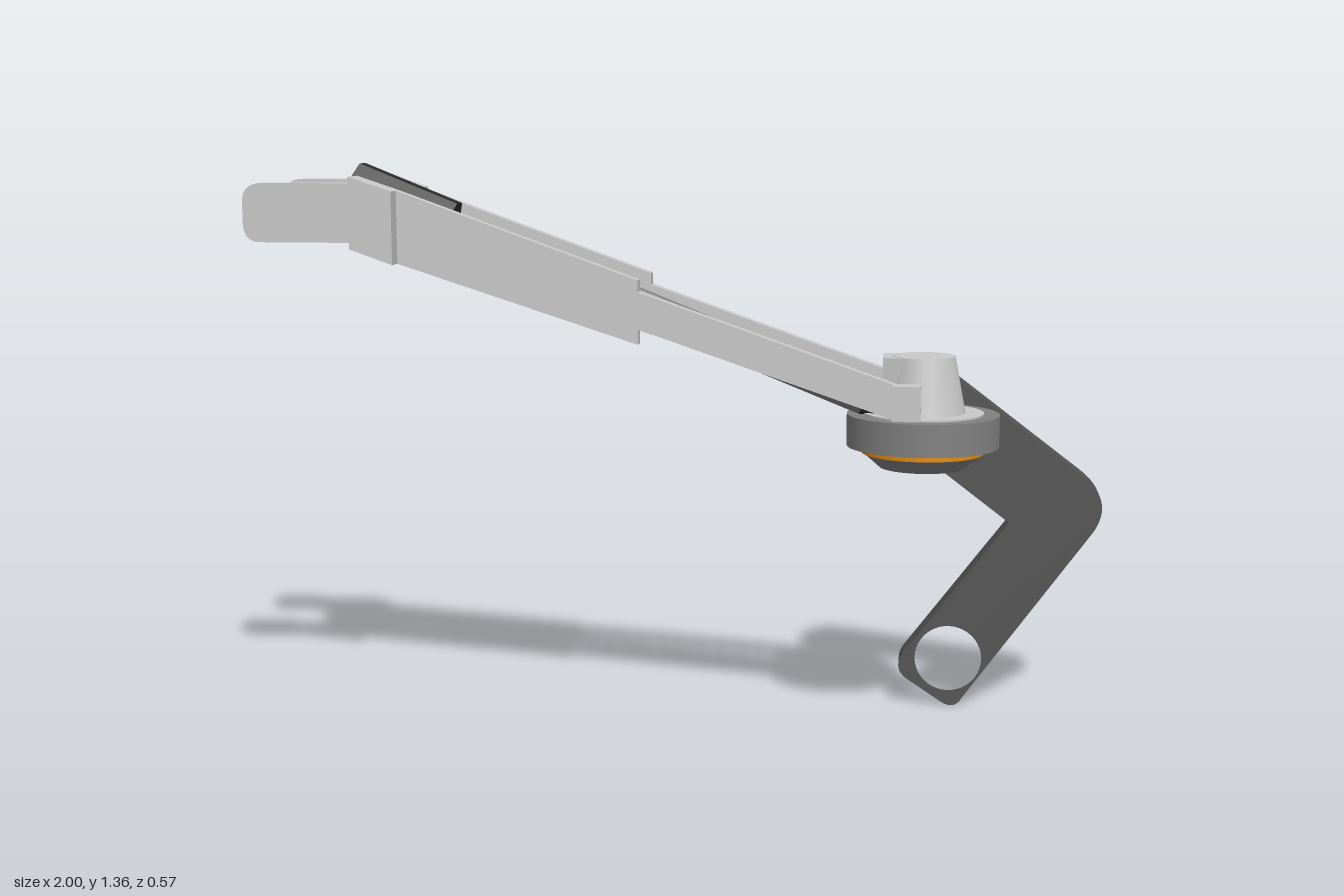
import * as THREE from 'three';

const mat = (name, color) => {
  const m = new THREE.MeshStandardMaterial({ color });
  m.name = name;
  return m;
};

export function createModel() {
  const light = mat('lightGrey', 0xc8c8c8);
  const grey = mat('midGrey', 0x808080);
  const dark = mat('darkGrey', 0x555555);
  const black = mat('black', 0x2b2b2b);
  const orange = mat('orange', 0xe08a10);

  const model = new THREE.Group();
  const CX = 0.56, CZ = 0.105; // pivot axis

  const add = (name, geo, material, x = 0, y = 0, z = 0) => {
    const mesh = new THREE.Mesh(geo, material);
    mesh.name = name;
    mesh.position.set(x, y, z);
    model.add(mesh);
    return mesh;
  };
  const shapeOf = (pts) => new THREE.Shape(pts.map(([x, y]) => new THREE.Vector2(x, y)));
  // flat plate in the xy plane between two depths
  const plate = (name, shape, z0, z1, material) =>
    add(name, new THREE.ExtrudeGeometry(shape, { depth: z1 - z0, bevelEnabled: false, curveSegments: 20 }),
      material, 0, 0, z0);
  const turned = (name, pts, material) =>
    add(name, new THREE.LatheGeometry(pts.map(([r, y]) => new THREE.Vector2(r, y)), 48), material, CX, 0, CZ);

  // Pivot base: outer ring, tapered underside, orange seal, top disc and cone
  add('baseRing', new THREE.CylinderGeometry(0.177, 0.177, 0.075, 48), grey, CX, 0.7475, CZ);
  add('baseUnderside', new THREE.CylinderGeometry(0.14, 0.1, 0.035, 48), grey, CX, 0.6775, CZ);
  add('seal', new THREE.CylinderGeometry(0.142, 0.142, 0.016, 48), orange, CX, 0.702, CZ);
  add('topDisc', new THREE.CylinderGeometry(0.14, 0.14, 0.008, 48), light, CX, 0.785, CZ);
  turned('cone', [[0.098, 0.785], [0.072, 0.92]], light);
  add('coneCap', new THREE.CircleGeometry(0.072, 48).rotateX(-Math.PI / 2), light, CX, 0.92, CZ);

  // Tapered nose joining the cone to the rod
  const nose = shapeOf([[0.466, -0.045], [0.53, -0.064], [0.56, -0.064], [0.56, 0.064], [0.53, 0.064], [0.466, 0.045]]);
  const noseGeo = new THREE.ExtrudeGeometry(nose, { depth: 0.134, bevelEnabled: false }).rotateX(-Math.PI / 2);
  add('coneNose', noseGeo, light, 0, 0.785, CZ);

  // Eight-sided bar between two points, flats facing up and sideways
  const bar = (name, a, b, r, material) => {
    const from = new THREE.Vector3(...a), dir = new THREE.Vector3(...b).sub(from);
    const geo = new THREE.CylinderGeometry(r, r, dir.length(), 8).rotateY(Math.PI / 8).toNonIndexed();
    geo.computeVertexNormals();
    const mid = from.clone().addScaledVector(dir, 0.5);
    const mesh = add(name, geo, material, mid.x, mid.y, mid.z);
    mesh.quaternion.setFromUnitVectors(new THREE.Vector3(0, 1, 0), dir.normalize());
    return mesh;
  };

  // Central lever with grip
  const rodY = (x) => 1.209 - 0.4 * (x + 0.553);
  const rodPoint = (x) => [x, rodY(x), CZ];
  bar('leverRod', rodPoint(-0.6), rodPoint(0.47), 0.04, grey);
  bar('leverSocket', rodPoint(0.425), rodPoint(0.475), 0.046, black);
  bar('leverGrip', rodPoint(-0.785), rodPoint(-0.553), 0.064, black);

  // Paired side arms, mirrored about the lever
  const arm = shapeOf([
    [-0.75, 1.165], [-0.65, 1.13], [-0.09, 0.95], [-0.09, 0.985], [0.47, 0.795], [0.5, 0.785], [0.555, 0.785],
    [0.555, 0.865], [0.5, 0.865], [-0.09, 1.07], [-0.09, 1.097], [-0.65, 1.297], [-0.75, 1.33],
  ]);
  const block = shapeOf([[-0.75, 1.165], [-0.65, 1.13], [-0.65, 1.297], [-0.75, 1.33]]);
  const foot = shapeOf([[0.49, 0.785], [0.555, 0.785], [0.555, 0.865], [0.5, 0.865], [0.49, 0.868]]);
  const paddle = new THREE.Shape();
  paddle.moveTo(-0.75, 1.18);
  paddle.lineTo(-0.75, 1.315);
  paddle.lineTo(-0.96, 1.315);
  paddle.quadraticCurveTo(-1, 1.31, -1, 1.27);
  paddle.lineTo(-1, 1.225);
  paddle.quadraticCurveTo(-1, 1.18, -0.96, 1.18);
  paddle.closePath();
  for (const [side, s] of [['front', 1], ['back', -1]]) {
    const part = (name, shape, near, far) => {
      const [z0, z1] = [CZ + s * near, CZ + s * far].sort((a, b) => a - b);
      plate(side + name, shape, z0, z1, light);
    };
    part('Arm', arm, 0.09, 0.125);
    part('ArmBlock', block, 0.091, 0.17);
    part('ArmFoot', foot, 0.09, 0.141);
    part('Paddle', paddle, 0.125, 0.17);
  }

  // Bent bracket with a round hole
  const bracket = new THREE.Shape();
  bracket.moveTo(0.775, 0.473);
  bracket.lineTo(0.483, 0.695);
  bracket.quadraticCurveTo(0.435, 0.735, 0.475, 0.775);
  bracket.lineTo(0.545, 0.825);
  bracket.quadraticCurveTo(0.585, 0.855, 0.63, 0.839);
  bracket.lineTo(0.95, 0.596);
  bracket.quadraticCurveTo(1.035, 0.53, 0.975, 0.447);
  bracket.lineTo(0.668, 0.02);
  bracket.quadraticCurveTo(0.65, -0.012, 0.615, 0.01);
  bracket.lineTo(0.53, 0.066);
  bracket.quadraticCurveTo(0.495, 0.09, 0.517, 0.13);
  bracket.closePath();
  const hole = new THREE.Path();
  hole.absarc(0.632, 0.123, 0.083, 0, Math.PI * 2, true);
  bracket.holes.push(hole);
  plate('bracket', bracket, -0.255, -0.177, dark);

  // Bolt through the bracket into the base
  bar('boltNeck', [CX - 0.003, 0.75, 0], [CX - 0.003, 0.75, -0.11], 0.046, grey);
  bar('boltNut', [CX - 0.003, 0.75, -0.105], [CX - 0.003, 0.75, -0.18], 0.065, dark);
  bar('boltHead', [CX - 0.003, 0.75, -0.25], [CX - 0.003, 0.75, -0.29], 0.065, dark);

  return model;
}
